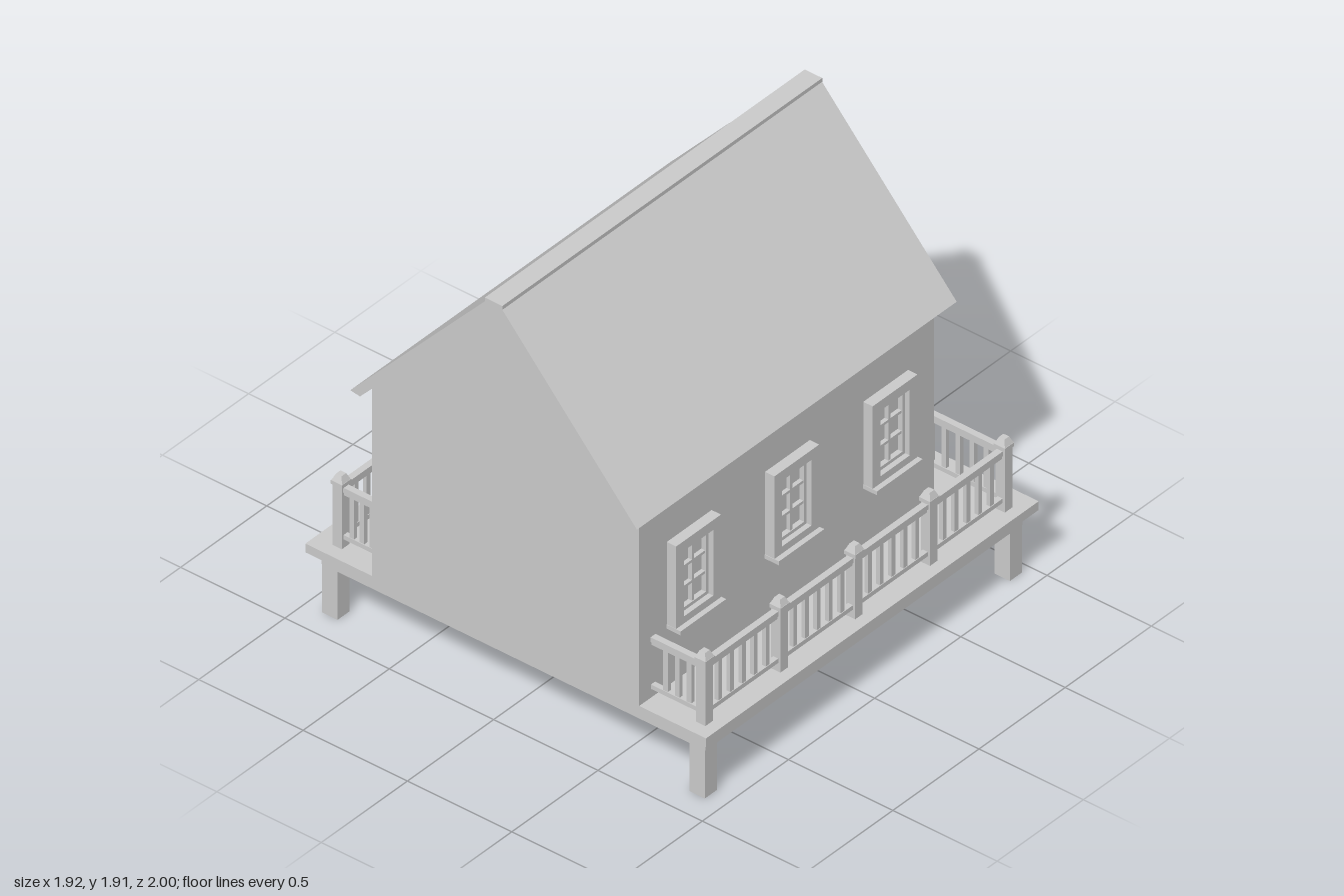
import * as THREE from 'three';

const mat = new THREE.MeshStandardMaterial({ color: 0xcccccc, flatShading: true });

function add(parent, name, geometry, x = 0, y = 0, z = 0) {
  const mesh = new THREE.Mesh(geometry, mat);
  mesh.name = name;
  mesh.position.set(x, y, z);
  parent.add(mesh);
  return mesh;
}

// Box given by its minimum and maximum on each axis
function box(parent, name, x0, x1, y0, y1, z0, z1) {
  return add(parent, name, new THREE.BoxGeometry(x1 - x0, y1 - y0, z1 - z0),
    (x0 + x1) / 2, (y0 + y1) / 2, (z0 + z1) / 2);
}

function group(parent, name) {
  const g = new THREE.Group();
  g.name = name;
  parent.add(g);
  return g;
}

const extrude = (shape, depth) =>
  new THREE.ExtrudeGeometry(shape, { depth, bevelEnabled: false, curveSegments: 32 });
const polygon = (pts) => new THREE.Shape(pts.map(([x, y]) => new THREE.Vector2(x, y)));
const rect = (w, h) => [[-w / 2, -h / 2], [w / 2, -h / 2], [w / 2, h / 2], [-w / 2, h / 2]];

// Rectangular ring, open in the middle
function ringFrame(w, h, border, depth) {
  const shape = polygon(rect(w, h));
  shape.holes.push(polygon(rect(w - 2 * border, h - 2 * border)));
  return extrude(shape, depth);
}

// Glazing bars dividing a w by h opening, facing +z
function glazingBars(parent, w, h, cols, rows, z, depth, t = 0.012) {
  for (let i = 1; i < cols; i++) {
    const x = -w / 2 + (w * i) / cols;
    box(parent, 'glazingBar', x - t / 2, x + t / 2, -h / 2, h / 2, z, z + depth);
  }
  for (let j = 1; j < rows; j++) {
    const y = -h / 2 + (h * j) / rows;
    box(parent, 'glazingBar', -w / 2, w / 2, y - t / 2, y + t / 2, z, z + depth);
  }
}

// Sash window with frame and sill, facing +z
function sashWindow(parent, x, y, z, turn) {
  const g = group(parent, 'window');
  add(g, 'windowFrame', ringFrame(0.26, 0.39, 0.045, 0.045));
  add(g, 'windowSash', ringFrame(0.17, 0.30, 0.015, 0.022));
  glazingBars(g, 0.15, 0.28, 2, 3, 0, 0.018);
  box(g, 'windowSill', -0.132, 0.132, -0.2, -0.182, 0, 0.068);
  g.position.set(x, y, z);
  g.rotation.y = turn;
}

// Railing post with a tapered cap
function railPost(parent, x, z) {
  const g = group(parent, 'railPost');
  box(g, 'postShaft', -0.022, 0.022, 0.32, 0.645 - 0.04, -0.022, 0.022);
  box(g, 'postCollar', -0.027, 0.027, 0.6, 0.617, -0.027, 0.027);
  const cap = add(g, 'postCap', new THREE.CylinderGeometry(0.019, 0.036, 0.028, 4), 0, 0.631, 0);
  cap.rotation.y = Math.PI / 4;
  g.position.set(x, 0, z);
}

// Rails and balusters between two points
function railing(parent, xa, za, xb, zb, count) {
  const g = group(parent, 'railing');
  const len = Math.hypot(xb - xa, zb - za);
  box(g, 'topRail', 0, len, 0.575, 0.597, -0.014, 0.014);
  box(g, 'topRailStrip', 0, len, 0.56, 0.575, -0.009, 0.009);
  box(g, 'bottomRail', 0, len, 0.36, 0.38, -0.012, 0.012);
  const inner = len - 0.022;
  for (let i = 1; i <= count; i++) {
    const x = 0.011 + (inner * i) / (count + 1);
    box(g, 'baluster', x - 0.011, x + 0.011, 0.375, 0.565, -0.009, 0.009);
  }
  g.position.set(xa, 0, za);
  g.rotation.y = -Math.atan2(zb - za, xb - xa);
}

export function createModel() {
  const model = new THREE.Group();
  model.name = 'house';

  // Raised platform on four legs
  box(model, 'deck', -0.96, 0.96, 0.28, 0.32, -1, 0.93);
  box(model, 'deckBase', -0.92, 0.92, 0.22, 0.28, -0.955, 0.885);
  for (const sx of [-1, 1]) for (const z of [-0.92, 0.85]) {
    box(model, 'leg', sx * 0.88 - 0.037, sx * 0.88 + 0.037, 0, 0.22, z - 0.035, z + 0.035);
  }

  // House body with gable ends
  add(model, 'walls', extrude(polygon([[-0.64, 0.32], [0.64, 0.32], [0.64, 1.18],
    [0, 1.88], [-0.64, 1.18]]), 1.71), 0, 0, -0.78);

  // Roof slabs and ridge cap
  add(model, 'roof', extrude(polygon([[0.64, 1.18], [0.687, 1.187], [0.04, 1.895],
    [-0.04, 1.895], [-0.687, 1.187], [-0.64, 1.18], [0, 1.88]]), 1.855), 0, 0, -0.855);
  box(model, 'ridgeCap', -0.042, 0.042, 1.878, 1.91, -0.856, 1);

  // Windows along both sides and one at the back
  for (const z of [0.64, 0.07, -0.5]) for (const sx of [-1, 1]) {
    sashWindow(model, sx * 0.64, 0.785, z, (sx * Math.PI) / 2);
  }
  sashWindow(model, 0.225, 0.785, -0.78, Math.PI);

  // Round gable window
  const round = group(model, 'roundWindow');
  const disc = new THREE.Shape().absarc(0, 0, 0.235, 0, Math.PI * 2);
  disc.holes.push(new THREE.Path().absarc(0, 0, 0.19, 0, Math.PI * 2, true));
  add(round, 'roundFrame', extrude(disc, 0.055));
  for (let i = 0; i < 4; i++) {
    const spoke = box(round, 'spoke', -0.195, 0.195, -0.01, 0.01, 0, 0.025);
    spoke.rotation.z = (i * Math.PI) / 4;
  }
  const hub = add(round, 'hub', new THREE.CylinderGeometry(0.03, 0.03, 0.032, 16), 0, 0, 0.016);
  hub.rotation.x = Math.PI / 2;
  round.position.set(0, 1.39, -0.78);
  round.rotation.y = Math.PI;

  // Door with a four-pane window
  const door = group(model, 'door');
  const leaf = polygon([[-0.145, -0.28], [0.145, -0.28], [0.145, 0.28], [-0.145, 0.28]]);
  leaf.holes.push(polygon([[-0.1, -0.04], [0.1, -0.04], [0.1, 0.22], [-0.1, 0.22]]));
  add(door, 'doorLeaf', extrude(leaf, 0.032));
  const pane = group(door, 'doorWindow');
  add(pane, 'doorWindowFrame', ringFrame(0.21, 0.27, 0.02, 0.037));
  glazingBars(pane, 0.17, 0.23, 2, 2, 0, 0.025, 0.018);
  pane.position.y = 0.09;
  door.position.set(-0.3, 0.6, -0.78);
  door.rotation.y = Math.PI;

  // Railings around the deck
  const postZ = [-0.887, -0.453, -0.019, 0.415, 0.85];
  for (const [x, wall] of [[-0.855, -0.64], [0.887, 0.64]]) {
    postZ.forEach((z, i) => {
      railPost(model, x, z);
      if (i) railing(model, x, postZ[i - 1], x, z, 5);
    });
    railing(model, x, 0.85, wall, 0.85, 3);
  }
  railPost(model, 0.46, postZ[0]);
  railing(model, 0.46, postZ[0], 0.887, postZ[0], 5);

  return model;
}
